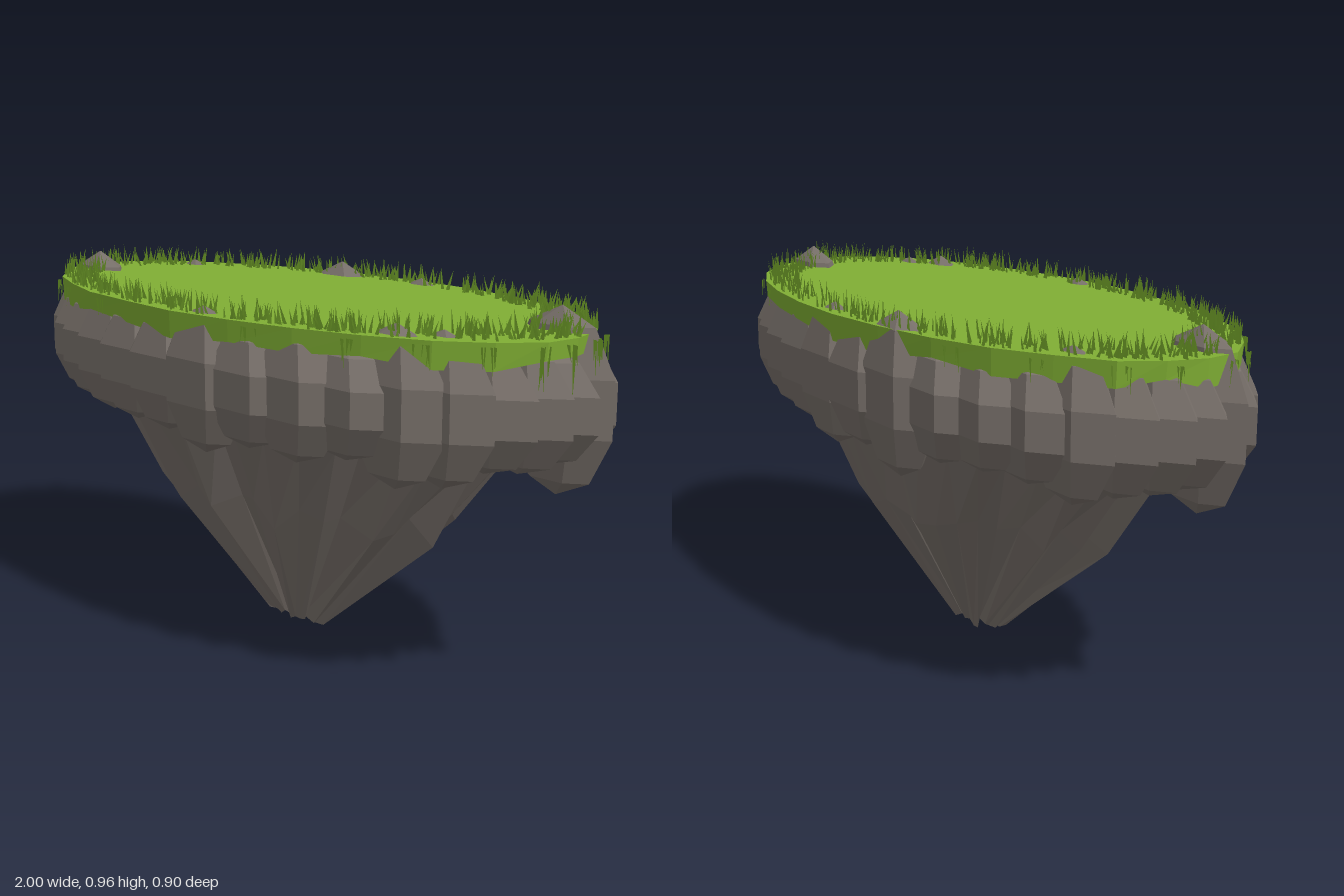
import * as THREE from 'three';

const SQUASH = 0.46; // depth of the island relative to its width
const RIM = 0.94, TOP = 0.905;

const rock = new THREE.MeshStandardMaterial({ color: 0x79716b });
rock.name = 'rock grey';
const grass = new THREE.MeshStandardMaterial({ color: 0x80af34 });
grass.name = 'turf green';
const blade = new THREE.MeshStandardMaterial({ color: 0x80b530, side: THREE.DoubleSide });
blade.name = 'blade green';

// Small seeded random generator
function seeded(seed) {
  let s = seed;
  return (a = 0, b = 1) => {
    s = (s * 16807) % 2147483647;
    return a + (b - a) * (s / 2147483647);
  };
}

function mesh(name, geometry, material) {
  const m = new THREE.Mesh(geometry, material);
  m.name = name;
  return m;
}

// Faceted normals
function faceted(geometry) {
  const g = geometry.toNonIndexed();
  g.computeVertexNormals();
  return g;
}

// Grid of rings: rule(row, seg) gives [radius, y]
function ringed(segs, rows, rule) {
  const g = new THREE.CylinderGeometry(1, 1, 1, segs, rows - 1, true);
  const p = g.attributes.position;
  for (let k = 0; k < p.count; k++) {
    const row = Math.floor(k / (segs + 1)), seg = (k % (segs + 1)) % segs;
    const a = (seg / segs) * Math.PI * 2;
    const [r, y] = rule(row, seg);
    p.setXYZ(k, Math.sin(a) * r, y, Math.cos(a) * r * SQUASH);
  }
  return faceted(g);
}

// Creased, tapering underside with a ragged tip
function underside() {
  const rand = seeded(71), segs = 40, rows = [[0.8, 0.76], [0.75, 0.6], [0.54, 0.365], [0.11, 0.02], [0, 0.05]];
  const jitter = rows.map(() => Array.from({ length: segs }, () => rand()));
  return ringed(segs, rows.length, (row, seg) => {
    const [r, y] = rows[row], j = jitter[row][seg];
    if (row === 4) return [0, y];
    // lobes at the tip, parted by notches
    if (row === 3) return [r * (seg % 5 === 0 ? 0.35 : 0.85 + 0.3 * j), 0.02 * jitter[0][seg]];
    const fold = seg % 5 === 0 ? 0.88 : 1.02;
    return [r * (fold - 0.07 * j), row === 2 ? y + 0.08 * (j - 0.5) : y];
  });
}

// Turf slab with a slightly irregular rim and an uneven lower lip
function turf() {
  const rand = seeded(19), segs = 28;
  const lip = Array.from({ length: segs }, () => rand(0.835, 0.865));
  const rim = Array.from({ length: segs }, () => RIM + rand(-0.012, 0.012));
  return ringed(segs, 4, (row, seg) => [
    [0, TOP], [rim[seg], TOP], [rim[seg] - 0.005, lip[seg]], [0, 0.84],
  ][row]);
}

function triangles(points) {
  const g = new THREE.BufferGeometry();
  g.setAttribute('position', new THREE.Float32BufferAttribute(points, 3));
  g.computeVertexNormals();
  return g;
}

// Upright blades in a band along the rim
function blades() {
  const rand = seeded(5), pts = [];
  for (let i = 0; i < 800; i++) {
    const a = rand(0, Math.PI * 2), r = rand(0.84, 0.985) * RIM;
    const x = Math.cos(a) * r, z = Math.sin(a) * r * SQUASH;
    if (x > 0.12 && x < 0.18) continue;
    const w = rand(0.004, 0.008), h = rand(0.028, 0.058), lean = rand(-0.02, 0.02);
    pts.push(x - w, TOP, z, x + w, TOP, z, x + lean, TOP + h, z + rand(-0.003, 0.003));
  }
  return triangles(pts);
}

// Hanging strands in clusters around the rim
function strands() {
  const rand = seeded(33), pts = [];
  const clusters = [28, 14, 6, -6, -10, -18, -45, -57, 41, 55, 73, 112, 130, 142, 160, 172, 190, 205, 222, 240, 300];
  for (const deg of clusters) {
    const longest = Math.abs(deg) < 30 ? 0.14 : 0.08;
    for (let i = 0; i < 4; i++) {
      const a = THREE.MathUtils.degToRad(deg + rand(-2, 2)), r = RIM + rand(0.005, 0.025);
      const x = Math.cos(a) * r, z = Math.sin(a) * r * SQUASH, w = rand(0.004, 0.008);
      const len = rand(0.35, 1) * longest;
      pts.push(x - w, TOP - 0.01, z - 0.002, x + w, TOP - 0.01, z + 0.002, x + rand(-0.01, 0.01), TOP - len, z);
    }
  }
  return triangles(pts);
}

export function createModel() {
  const island = new THREE.Group();
  island.name = 'floatingIsland';
  island.add(mesh('underside', underside(), rock));
  island.add(mesh('turf', turf(), grass));
  island.add(mesh('grassBlades', blades(), blade));
  island.add(mesh('hangingStrands', strands(), blade));

  // Ring of boulders; the tall ones poke through the turf
  const boulders = new THREE.Group();
  boulders.name = 'boulders';
  const boulder = faceted(new THREE.SphereGeometry(1, 6, 5));
  const count = 34, rand = seeded(11);
  const tall = { 3: 0.185, 4: 0.195, 8: 0.187, 16: 0.222, 20: 0.185, 24: 0.208, 26: 0.187, 33: 0.226 };
  for (let i = 0; i < count; i++) {
    const a = (i / count) * Math.PI * 2;
    const m = mesh('boulder', boulder, rock);
    const h = tall[i] ?? rand(0.138, 0.168);
    m.position.set(Math.cos(a) * 0.843, 0.735, Math.sin(a) * 0.843 * SQUASH);
    m.scale.set(0.165, h, 0.165 * SQUASH);
    boulders.add(m);
  }
  island.add(boulders);
  return island;
}
